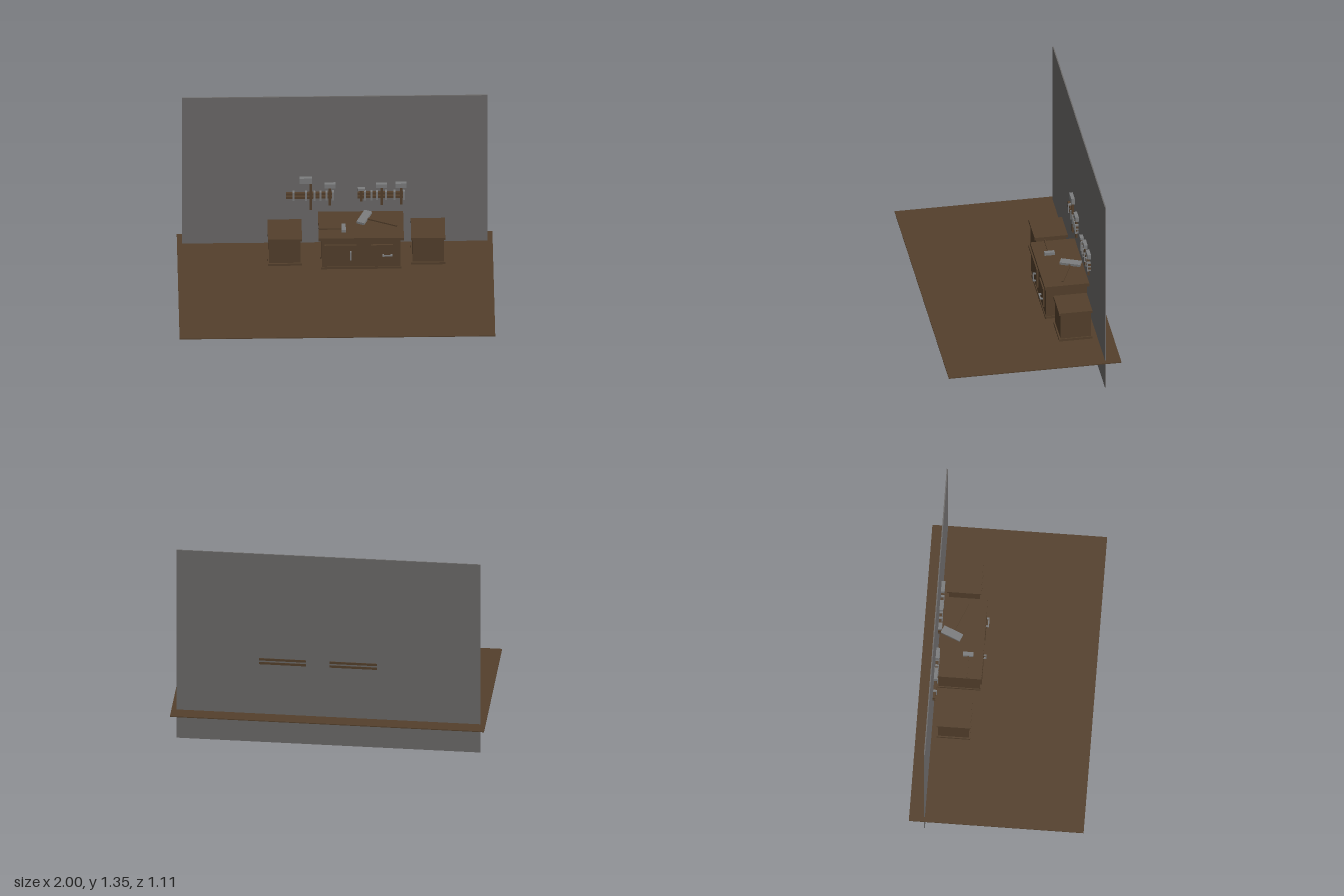
import * as THREE from 'three';

const mat = (name, color) => {
  const m = new THREE.MeshStandardMaterial({ color });
  m.name = name;
  return m;
};

export function createModel() {
  const wood = mat('brown wood', 0x54402c);
  const plaster = mat('grey wall', 0x6c6a69);
  const steel = mat('tool steel', 0x7c7d7e);
  const model = new THREE.Group();
  model.name = 'workshop';

  // Box given by its minimum and maximum on each axis
  const box = (parent, name, m, [x0, x1], [y0, y1], [z0, z1]) => {
    const mesh = new THREE.Mesh(new THREE.BoxGeometry(x1 - x0, y1 - y0, z1 - z0), m);
    mesh.position.set((x0 + x1) / 2, (y0 + y1) / 2, (z0 + z1) / 2);
    mesh.name = name;
    parent.add(mesh);
    return mesh;
  };
  const group = (name, parent = model) => {
    const g = new THREE.Group();
    g.name = name;
    parent.add(g);
    return g;
  };

  // Floor and back wall
  box(model, 'floor', wood, [-1, 1], [0.197, 0.203], [-0.555, 0.555]);
  box(model, 'wall', plaster, [-0.967, 0.967], [0, 1.35], [-0.462, -0.455]);

  // Side cabinets
  for (const [name, x] of [['rightCabinet', -0.32], ['leftCabinet', 0.588]]) {
    const g = group(name);
    box(g, 'body', wood, [x - 0.1, x + 0.1], [0.2, 0.396], [-0.412, -0.218]);
    box(g, 'plinth', wood, [x - 0.108, x + 0.108], [0.2, 0.219], [-0.422, -0.208]);
    box(g, 'top', wood, [x - 0.108, x + 0.108], [0.394, 0.411], [-0.422, -0.208]);
  }

  // Workbench with two doors
  const bench = group('workbench');
  box(bench, 'body', wood, [-0.086, 0.412], [0.2, 0.43], [-0.436, -0.172]);
  box(bench, 'plinth', wood, [-0.092, 0.417], [0.2, 0.219], [-0.44, -0.167]);
  box(bench, 'top', wood, [-0.107, 0.433], [0.428, 0.45], [-0.447, -0.161]);
  box(bench, 'wideDoor', wood, [-0.07, 0.134], [0.26, 0.393], [-0.174, -0.161]);
  box(bench, 'narrowDoor', wood, [0.225, 0.364], [0.26, 0.393], [-0.174, -0.161]);

  // Door pulls: a bar on two posts
  const pull = (x, y, turn) => {
    const g = group('doorPull', bench);
    box(g, 'bar', steel, [-0.004, 0.004], [-0.032, 0.032], [0.01, 0.018]);
    for (const s of [-0.026, 0.026]) box(g, 'post', steel, [-0.004, 0.004], [s - 0.005, s + 0.005], [-0.001, 0.011]);
    g.position.set(x, y, -0.161);
    g.rotation.z = turn;
  };
  pull(0.096, 0.319, 0);
  pull(0.328, 0.319, Math.PI / 2);

  // Wall racks: two rails held by steel clips
  const rack = (x0, x1, clips) => {
    const g = group('toolRack');
    for (const y of [0.567, 0.594]) box(g, 'rail', wood, [x0, x1], [y - 0.008, y + 0.008], [-0.465, -0.438]);
    for (const x of clips) box(g, 'clip', steel, [x - 0.006, x + 0.006], [0.547, 0.612], [-0.457, -0.432]);
  };
  rack(-0.31, -0.006, [-0.262, -0.182, -0.13, -0.09, -0.053, -0.012]);
  rack(0.143, 0.443, [0.192, 0.232, 0.268, 0.325, 0.378, 0.437]);

  // Hanging hammers: head span, head height span, handle x, handle foot
  const hung = [
    [[-0.223, -0.145], [0.68, 0.722], -0.154, 0.47],
    [[-0.066, 0.005], [0.643, 0.675], -0.031, 0.505],
    [[0.145, 0.19], [0.62, 0.636], 0.168, 0.535],
    [[0.262, 0.33], [0.643, 0.67], 0.296, 0.505],
    [[0.385, 0.455], [0.643, 0.675], 0.42, 0.505],
  ];
  for (const [hx, hy, x, foot] of hung) {
    const g = group('hangingHammer');
    box(g, 'head', steel, hx, hy, [-0.456, -0.432]);
    box(g, 'handle', wood, [x - 0.008, x + 0.008], [foot, hy[0] + 0.005], [-0.45, -0.438]);
  }

  // Small hammer lying on the bench
  const small = group('smallHammer');
  box(small, 'head', steel, [0.04, 0.066], [0.45, 0.47], [-0.29, -0.224]);
  box(small, 'handle', wood, [-0.105, 0.041], [0.453, 0.463], [-0.26, -0.25]);

  // Large hammer lying at an angle
  const large = group('largeHammer');
  box(large, 'head', steel, [-0.026, 0.026], [0, 0.016], [-0.067, 0.067]);
  box(large, 'handle', wood, [0.025, 0.225], [0.001, 0.01], [-0.006, 0.006]);
  large.position.set(0.185, 0.45, -0.37);
  large.rotation.y = -0.4;

  return model;
}
